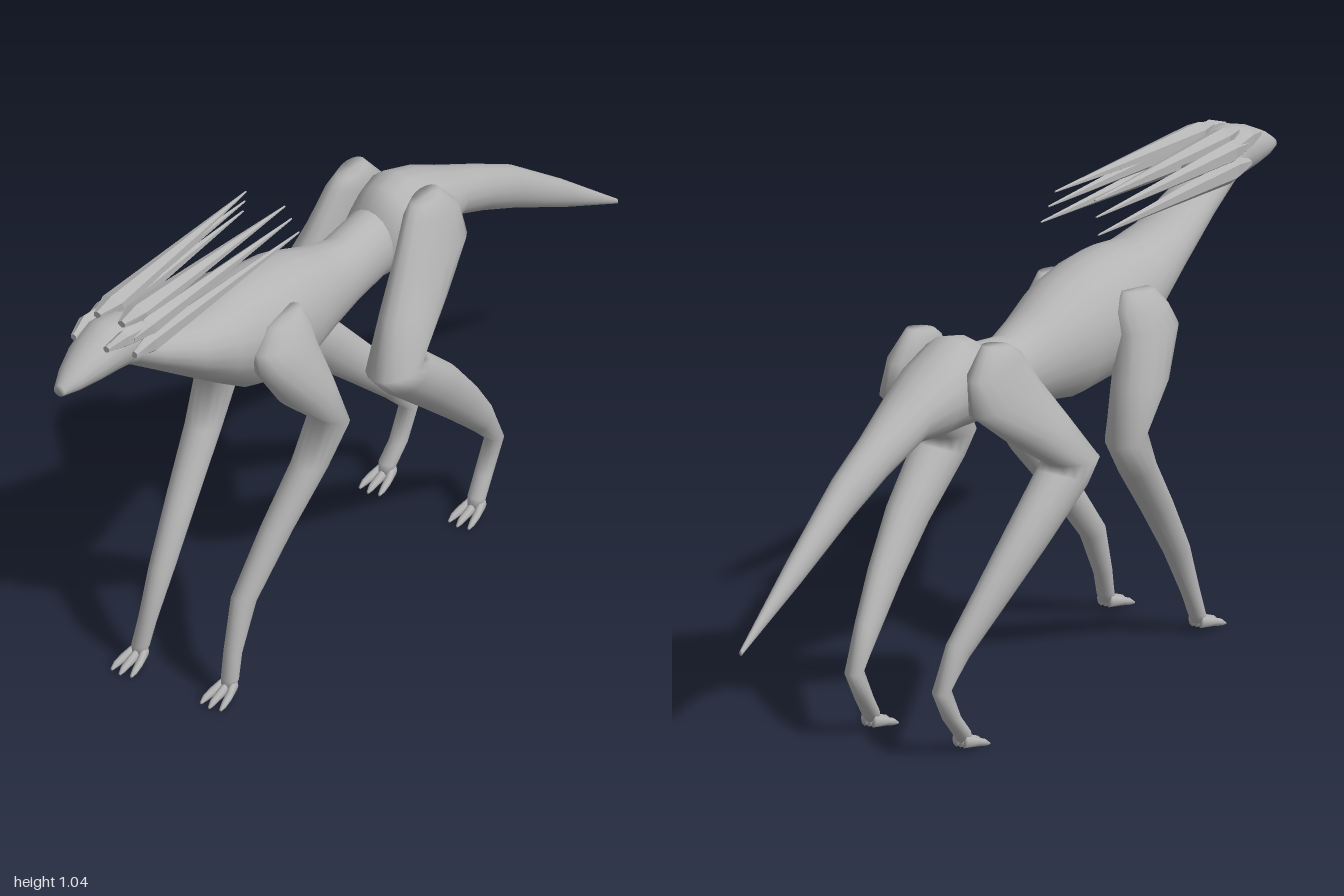
import * as THREE from 'three';

const grey = new THREE.MeshStandardMaterial({ color: 0xb4b4b4 });
grey.name = 'stone grey';

// Loft of elliptical rings. Each section: [z1, y1, z2, y2, xMin, xMax];
// the first and second points are opposite edges of the ring seen from the side.
function loft(name, sections, { side = 1, sides = 16, flat = false } = {}) {
  const pos = [], index = [], n = sections.length;
  const centre = ([z1, y1, z2, y2, a, b]) => [side * (a + b) / 2, (y1 + y2) / 2, (z1 + z2) / 2];
  for (const s of sections) {
    const [cx, cy, cz] = centre(s);
    for (let j = 0; j < sides; j++) {
      const t = (j / sides) * Math.PI * 2, c = Math.cos(t);
      pos.push(cx + Math.sin(t) * (s[5] - s[4]) / 2, cy + c * (s[1] - s[3]) / 2, cz + c * (s[0] - s[2]) / 2);
    }
  }
  for (let i = 0; i < n - 1; i++) {
    for (let j = 0; j < sides; j++) {
      const k = (j + 1) % sides;
      const a = i * sides + j, b = i * sides + k, c = a + sides, d = b + sides;
      index.push(a, b, c, b, d, c);
    }
  }
  // end caps
  const first = n * sides, last = first + 1, base = (n - 1) * sides;
  pos.push(...centre(sections[0]), ...centre(sections[n - 1]));
  for (let j = 0; j < sides; j++) {
    const k = (j + 1) % sides;
    index.push(first, k, j, last, base + j, base + k);
  }
  let geo = new THREE.BufferGeometry();
  geo.setAttribute('position', new THREE.Float32BufferAttribute(pos, 3));
  geo.setIndex(index);
  if (flat) geo = geo.toNonIndexed();
  geo.computeVertexNormals();
  const mesh = new THREE.Mesh(geo, grey);
  mesh.name = name;
  return mesh;
}

// Upright ring: z, top, bottom, half width
const ring = ([z, top, bottom, w]) => [z, top, z, bottom, -w, w];

const HEAD = [
  [1.0, 0.943, 0.918, 0.014], [0.96, 0.97, 0.912, 0.032], [0.9, 1.0, 0.908, 0.05],
  [0.84, 1.02, 0.904, 0.06], [0.78, 1.015, 0.895, 0.062], [0.72, 0.97, 0.89, 0.045],
];
const TORSO = [
  [0.83, 0.99, 0.908, 0.05], [0.78, 0.975, 0.892, 0.058], [0.7, 0.935, 0.84, 0.06],
  [0.57, 0.89, 0.755, 0.075], [0.47, 0.877, 0.69, 0.092], [0.38, 0.888, 0.635, 0.108],
  [0.3, 0.884, 0.61, 0.114], [0.2, 0.868, 0.605, 0.108], [0.1, 0.83, 0.625, 0.085],
  [0, 0.8, 0.64, 0.066], [-0.1, 0.815, 0.655, 0.064], [-0.18, 0.83, 0.67, 0.064],
];
const TAIL = [
  [-0.11, 0.82, 0.655, 0.066], [-0.16, 0.85, 0.655, 0.078], [-0.21, 0.862, 0.66, 0.085],
  [-0.3, 0.83, 0.665, 0.082], [-0.38, 0.79, 0.675, 0.065], [-0.5, 0.735, 0.625, 0.046],
  [-0.62, 0.675, 0.57, 0.036], [-0.8, 0.55, 0.48, 0.022], [-1.0, 0.4, 0.388, 0.004],
];
const FORELEG = [
  [0.29, 0.83, 0.39, 0.815, 0.08, 0.13], [0.265, 0.79, 0.435, 0.77, 0.06, 0.15],
  [0.265, 0.745, 0.445, 0.73, 0.07, 0.17], [0.23, 0.64, 0.375, 0.63, 0.08, 0.19],
  [0.19, 0.52, 0.28, 0.55, 0.1, 0.19], [0.25, 0.435, 0.335, 0.455, 0.098, 0.175],
  [0.35, 0.32, 0.425, 0.34, 0.088, 0.153], [0.455, 0.19, 0.515, 0.21, 0.08, 0.132],
  [0.51, 0.09, 0.55, 0.1, 0.09, 0.13], [0.53, 0.04, 0.565, 0.04, 0.095, 0.135],
  [0.54, 0.02, 0.57, 0.025, 0.1, 0.13],
];
const HINDLEG = [
  [-0.22, 0.86, -0.14, 0.845, 0.07, 0.12], [-0.28, 0.8, -0.11, 0.825, 0.06, 0.14],
  [-0.29, 0.725, -0.06, 0.75, 0.065, 0.16], [-0.18, 0.64, 0.01, 0.655, 0.08, 0.185],
  [-0.06, 0.56, 0.085, 0.55, 0.1, 0.21], [-0.08, 0.55, 0.035, 0.495, 0.1, 0.21],
  [-0.2, 0.45, -0.1, 0.39, 0.105, 0.19], [-0.3, 0.345, -0.22, 0.295, 0.1, 0.165],
  [-0.38, 0.25, -0.33, 0.205, 0.09, 0.14], [-0.43, 0.15, -0.385, 0.155, 0.09, 0.13],
  [-0.39, 0.08, -0.35, 0.085, 0.09, 0.13], [-0.355, 0.035, -0.32, 0.045, 0.095, 0.135],
  [-0.345, 0.02, -0.315, 0.025, 0.1, 0.13],
];
// Mane spikes per side: base x range, base y range, tip x, tip y, tip z
const SPIKES = [
  [0.003, 0.06, 0.995, 1.037, 0.05, 1.032, 0.26],
  [0.036, 0.076, 0.965, 1.015, 0.06, 1.0, 0.25],
  [0.046, 0.08, 0.925, 0.98, 0.072, 0.966, 0.24],
];

// Three curved toes fanning forward from an ankle at depth z
function foot(name, side, z) {
  const group = new THREE.Group();
  group.name = name;
  for (const t of [-1, 0, 1]) {
    const r = (dz, low, high, x, w) => [z + dz, low, z + dz, high, x - w, x + w];
    group.add(loft('toe', [
      r(0, 0.01, 0.042, 0.115 + t * 0.01, 0.01),
      r(0.035 + (t ? 0 : 0.008), 0.006, 0.026, 0.115 + t * 0.02, 0.009),
      r(0.058 + (t ? 0 : 0.008), 0.001, 0.017, 0.115 + t * 0.024, 0.007),
      r(0.072 + (t ? 0 : 0.006), 0, 0.006, 0.115 + t * 0.025, 0.003),
    ], { side, sides: 8 }));
  }
  return group;
}

export function createModel() {
  const model = new THREE.Group();
  model.name = 'creature';
  model.add(
    loft('head', HEAD.map(ring)),
    loft('torso', TORSO.map(ring), { sides: 20 }),
    loft('hipsAndTail', TAIL.map(ring)),
  );
  for (const side of [1, -1]) {
    const label = side > 0 ? 'left' : 'right';
    model.add(
      loft(label + 'Foreleg', FORELEG, { side }),
      loft(label + 'HindLeg', HINDLEG, { side }),
      foot(label + 'Forefoot', side, 0.545),
      foot(label + 'HindFoot', side, -0.345),
      // brow ridge over the eye
      loft(label + 'Brow', [
        [0.89, 1.0, 0.89, 0.985, 0.034, 0.05], [0.84, 1.018, 0.84, 0.975, 0.036, 0.065],
        [0.76, 1.01, 0.76, 0.96, 0.04, 0.068],
      ], { side, sides: 6, flat: true }),
    );
    // swept-back mane
    for (const [x0, x1, y0, y1, tx, ty, tz] of SPIKES) {
      const mx = (x0 + x1) / 2, my = (y0 + y1) / 2;
      model.add(loft(label + 'ManeSpike', [
        [0.82, my + 0.008, 0.82, my - 0.008, mx - 0.01, mx + 0.01],
        [0.77, y1, 0.75, y0, x0, x1],
        [tz, ty + 0.002, tz, ty - 0.002, tx - 0.002, tx + 0.002],
      ], { side, sides: 6, flat: true }));
    }
  }
  return model;
}
